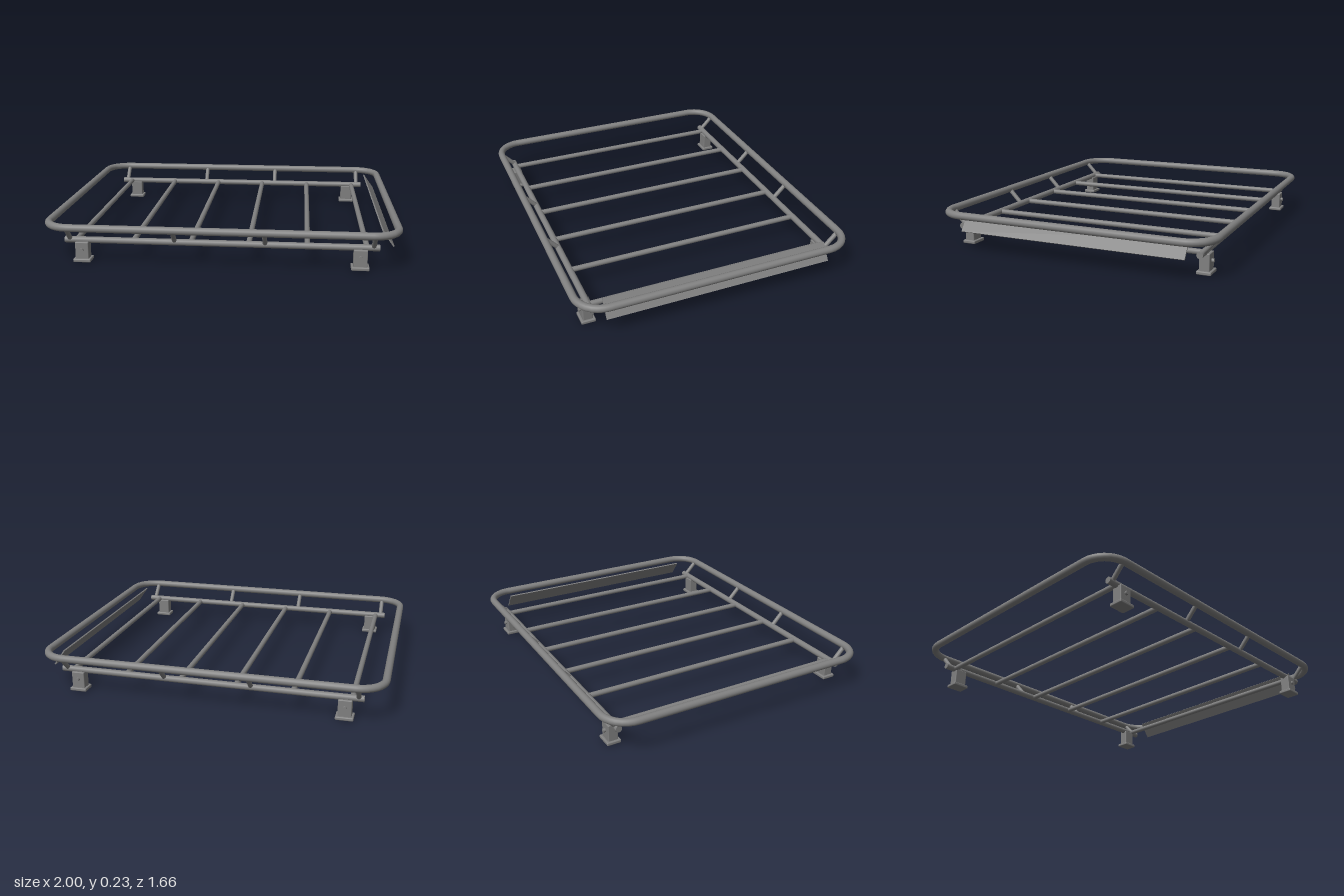
import * as THREE from 'three';
import { RoundedBoxGeometry } from 'three/addons/geometries/RoundedBoxGeometry.js';

const metal = new THREE.MeshStandardMaterial({ color: 0x808080 });
metal.name = 'greyMetal';

function add(parent, name, geometry, x = 0, y = 0, z = 0) {
  const mesh = new THREE.Mesh(geometry, metal);
  mesh.name = name;
  mesh.position.set(x, y, z);
  parent.add(mesh);
  return mesh;
}

// Straight round bar between two points
function bar(parent, name, a, b, radius) {
  const from = new THREE.Vector3(...a), to = new THREE.Vector3(...b);
  const dir = to.clone().sub(from);
  const mesh = add(parent, name, new THREE.CylinderGeometry(radius, radius, dir.length(), 20));
  mesh.position.copy(from).add(to).multiplyScalar(0.5);
  mesh.quaternion.setFromUnitVectors(new THREE.Vector3(0, 1, 0), dir.normalize());
  return mesh;
}

// Closed rounded-rectangle centre line in the horizontal plane
function ringPath(hx, hz, r, y) {
  const points = [];
  const corners = [[1, 1, 0], [-1, 1, 1], [-1, -1, 2], [1, -1, 3]];
  for (const [sx, sz, quarter] of corners) {
    for (let i = 0; i <= 10; i++) {
      const a = (quarter + i / 10) * Math.PI / 2;
      points.push(new THREE.Vector3(sx * (hx - r) + r * Math.cos(a), y, sz * (hz - r) + r * Math.sin(a)));
    }
  }
  const path = new THREE.CurvePath();
  points.forEach((p, i) => path.add(new THREE.LineCurve3(p, points[(i + 1) % points.length])));
  return path;
}

// Mounting foot: base plate, post and bolt on the outer face
function mountingFoot(x, side) {
  const foot = new THREE.Group();
  foot.name = 'mountingFoot';
  add(foot, 'footBase', new RoundedBoxGeometry(0.1, 0.02, 0.082, 2, 0.006), 0, 0.01, 0);
  add(foot, 'footPost', new RoundedBoxGeometry(0.076, 0.1, 0.058, 2, 0.005), 0, 0.065, 0);
  const bolt = add(foot, 'footBolt', new THREE.CylinderGeometry(0.011, 0.011, 0.016, 12), 0, 0.072, side * 0.035);
  bolt.rotation.x = Math.PI / 2;
  foot.position.set(x, 0, side * 0.728);
  return foot;
}

export function createModel() {
  const rack = new THREE.Group();
  rack.name = 'roofRack';

  // Upper perimeter rail
  const ring = ringPath(0.979, 0.808, 0.145, 0.213);
  add(rack, 'perimeterRail', new THREE.TubeGeometry(ring, 240, 0.0215, 18, true));

  // Side rails, struts up to the perimeter rail, and feet
  for (const side of [1, -1]) {
    bar(rack, 'sideRail', [-0.875, 0.122, side * 0.725], [0.875, 0.122, side * 0.725], 0.0185);
    for (const x of [-0.845, -0.253, 0.25, 0.842]) {
      bar(rack, 'strut', [x, 0.128, side * 0.728], [x, 0.21, side * 0.806], 0.0135);
    }
    for (const x of [-0.775, 0.772]) rack.add(mountingFoot(x, side));
  }

  // Cross bars
  for (let i = 0; i < 6; i++) {
    const x = -0.811 + i * 0.3235;
    bar(rack, 'crossBar', [x, 0.121, -0.725], [x, 0.121, 0.725], 0.0155);
  }

  // Tilted wind deflector plate
  const deflector = add(rack, 'windDeflector', new THREE.BoxGeometry(0.008, 0.114, 1.345), 0.924, 0.161, -0.002);
  deflector.rotation.z = Math.atan2(0.064, 0.09);

  return rack;
}
